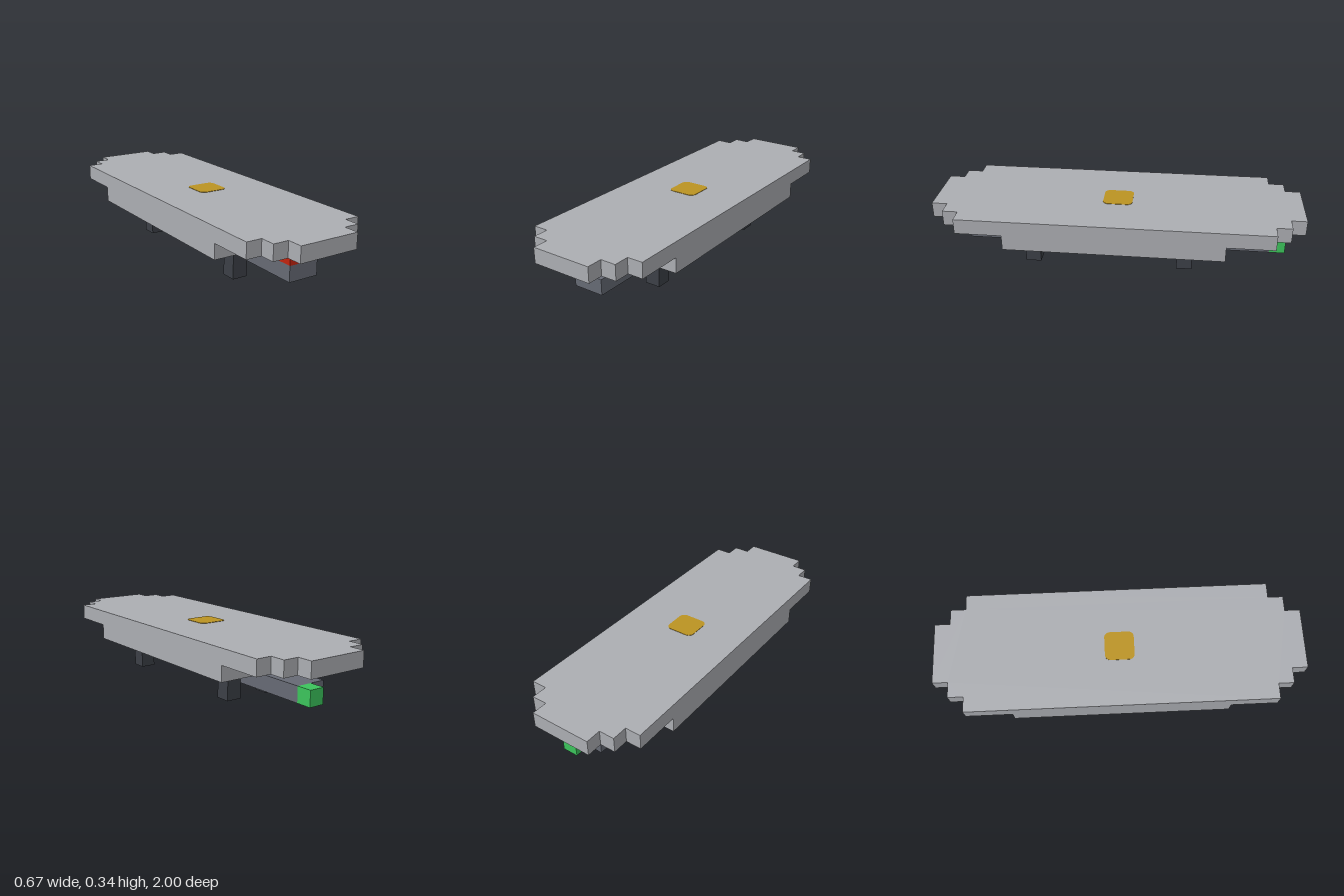
import * as THREE from 'three';

const U = 1 / 12; // one block

const mat = (name, color) => {
  const m = new THREE.MeshStandardMaterial({ color });
  m.name = name;
  return m;
};

export function createModel() {
  const model = new THREE.Group();
  model.name = 'deckCraft';
  const lightGrey = mat('lightGrey', 0xacaeb3);
  const midGrey = mat('midGrey', 0x666a74);
  const darkGrey = mat('darkGrey', 0x3c4047);
  const red = mat('red', 0xc4230e);
  const green = mat('green', 0x3cc45c);
  const gold = mat('gold', 0xbb9322);

  const add = (name, geometry, material) => {
    const mesh = new THREE.Mesh(geometry, material);
    mesh.name = name;
    model.add(mesh);
    return mesh;
  };

  // Box between two corners, measured in blocks
  const block = (name, material, [x0, y0, z0], [x1, y1, z1]) => {
    const g = new THREE.BoxGeometry((x1 - x0) * U, (y1 - y0) * U, (z1 - z0) * U);
    g.translate((x0 + x1) * U / 2, (y0 + y1) * U / 2, (z0 + z1) * U / 2);
    return add(name, g, material);
  };

  // Flat plate lying in xz, extruded upward
  const plate = (name, shape, height, y, material) => {
    const g = new THREE.ExtrudeGeometry(shape, { depth: height, bevelEnabled: false, curveSegments: 6 });
    g.rotateX(-Math.PI / 2);
    g.translate(0, y, 0);
    return add(name, g, material);
  };

  // Deck with stepped corners
  const corner = [[4, 10], [3, 10], [3, 11], [2, 11], [2, 12]];
  const mirrored = [...corner].reverse().map(([x, z]) => [-x, z]);
  const half = [...corner, ...mirrored];
  const outline = [...half, ...half.map(([x, z]) => [-x, -z])];
  const deckShape = new THREE.Shape(outline.map(([x, z]) => new THREE.Vector2(x * U, z * U)));
  plate('deck', deckShape, U, 3 * U, lightGrey);

  // Hull under the deck and the long keel beam
  block('hull', lightGrey, [-4, 2, -7], [4, 3, 7]);
  block('keel', midGrey, [-1, 1, -10], [1, 2, 10]);

  // Four legs
  for (const side of [-1, 1]) {
    for (const z of [-5, 5]) {
      const x = side > 0 ? 1 : -2;
      block(`${z > 0 ? 'front' : 'back'}${side > 0 ? 'Left' : 'Right'}Leg`, darkGrey, [x, 0, z], [x + 1, 2, z + 1]);
    }
  }

  // Signal lamps
  block('redLamp', red, [-1, 2, 9], [0, 3, 10]);
  block('greenLamp', green, [0, 1, -11], [1, 2, -10]);

  // Rounded marker set on the deck
  const a = 0.08, r = 0.03;
  const badge = new THREE.Shape();
  badge.absarc(a - r, a - r, r, 0, Math.PI / 2);
  badge.absarc(r - a, a - r, r, Math.PI / 2, Math.PI);
  badge.absarc(r - a, r - a, r, Math.PI, Math.PI * 1.5);
  badge.absarc(a - r, r - a, r, Math.PI * 1.5, Math.PI * 2);
  plate('deckMarker', badge, 0.002, 4 * U, gold);

  return model;
}
